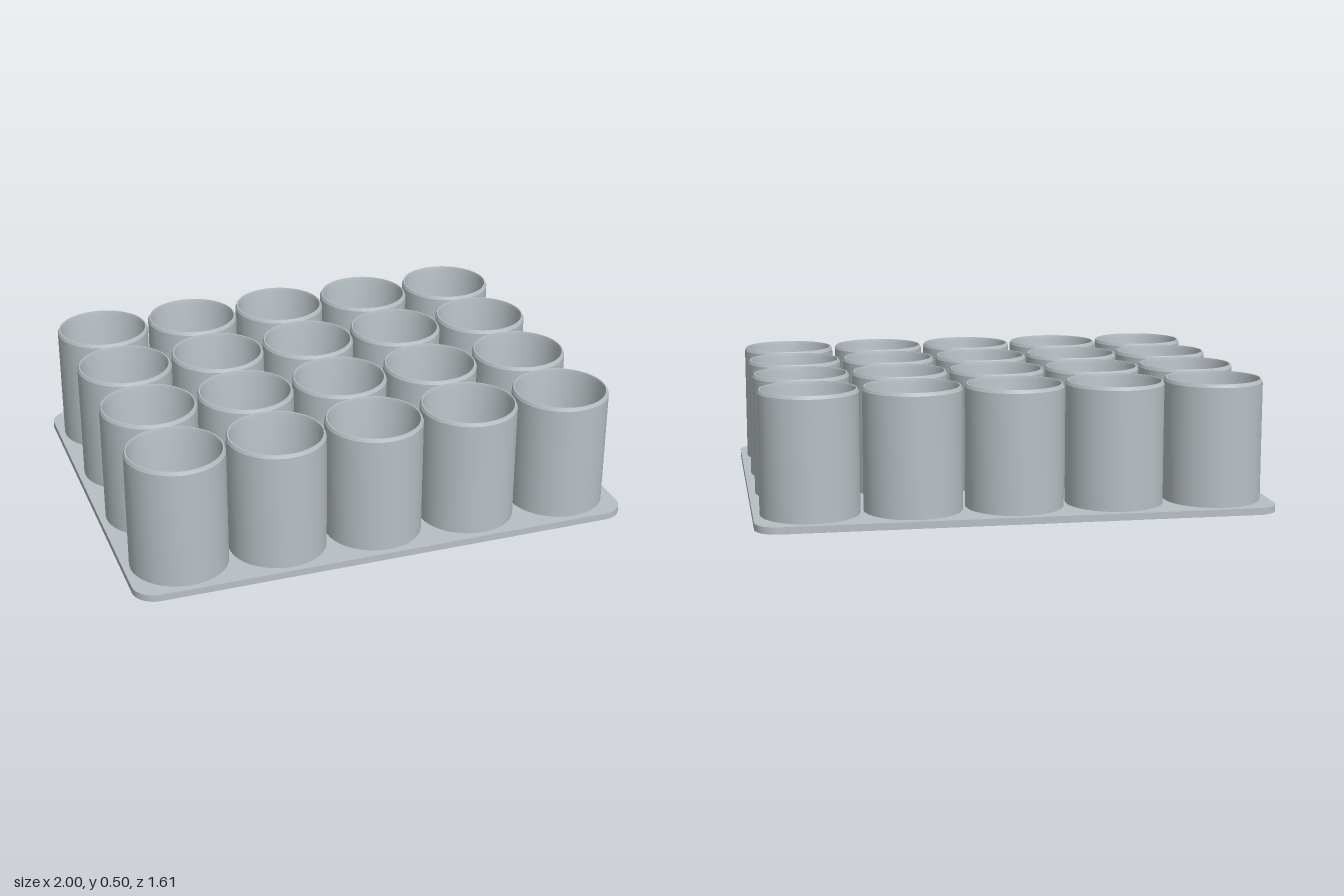
import * as THREE from 'three';
import { toCreasedNormals } from 'three/addons/utils/BufferGeometryUtils.js';

export function createModel() {
  const group = new THREE.Group();
  const greyPlastic = new THREE.MeshStandardMaterial({ color: 0xb8c0c4 });
  greyPlastic.name = 'greyPlastic';

  // Base plate: rounded rectangle, laid flat
  const w = 1, d = 0.805, r = 0.09, thickness = 0.027;
  const outline = new THREE.Shape();
  outline.absarc(w - r, d - r, r, 0, Math.PI / 2);
  outline.absarc(-w + r, d - r, r, Math.PI / 2, Math.PI);
  outline.absarc(-w + r, -d + r, r, Math.PI, Math.PI * 1.5);
  outline.absarc(w - r, -d + r, r, Math.PI * 1.5, Math.PI * 2);
  const plateGeometry = new THREE.ExtrudeGeometry(outline, {
    depth: thickness, bevelEnabled: false, curveSegments: 10,
  });
  plateGeometry.rotateX(-Math.PI / 2);
  const plate = new THREE.Mesh(toCreasedNormals(plateGeometry, 0.6), greyPlastic);
  plate.name = 'basePlate';
  group.add(plate);

  // Cup: straight outside, chamfered rim, slightly tapered inside, flat floor
  const profile = [
    [0.19, 0.02], [0.19, 0.49], [0.184, 0.503], [0.179, 0.503],
    [0.176, 0.49], [0.168, 0.032], [0, 0.032],
  ].map(([x, y]) => new THREE.Vector2(x, y));
  const cupGeometry = toCreasedNormals(new THREE.LatheGeometry(profile, 36), 0.4);

  // Grid of five by four cups
  const pitch = 0.392;
  for (let row = 0; row < 4; row++) {
    for (let column = 0; column < 5; column++) {
      const cup = new THREE.Mesh(cupGeometry, greyPlastic);
      cup.name = `cup_row${row + 1}_column${column + 1}`;
      cup.position.set((column - 2) * pitch, 0, (row - 1.5) * pitch);
      group.add(cup);
    }
  }
  return group;
}
